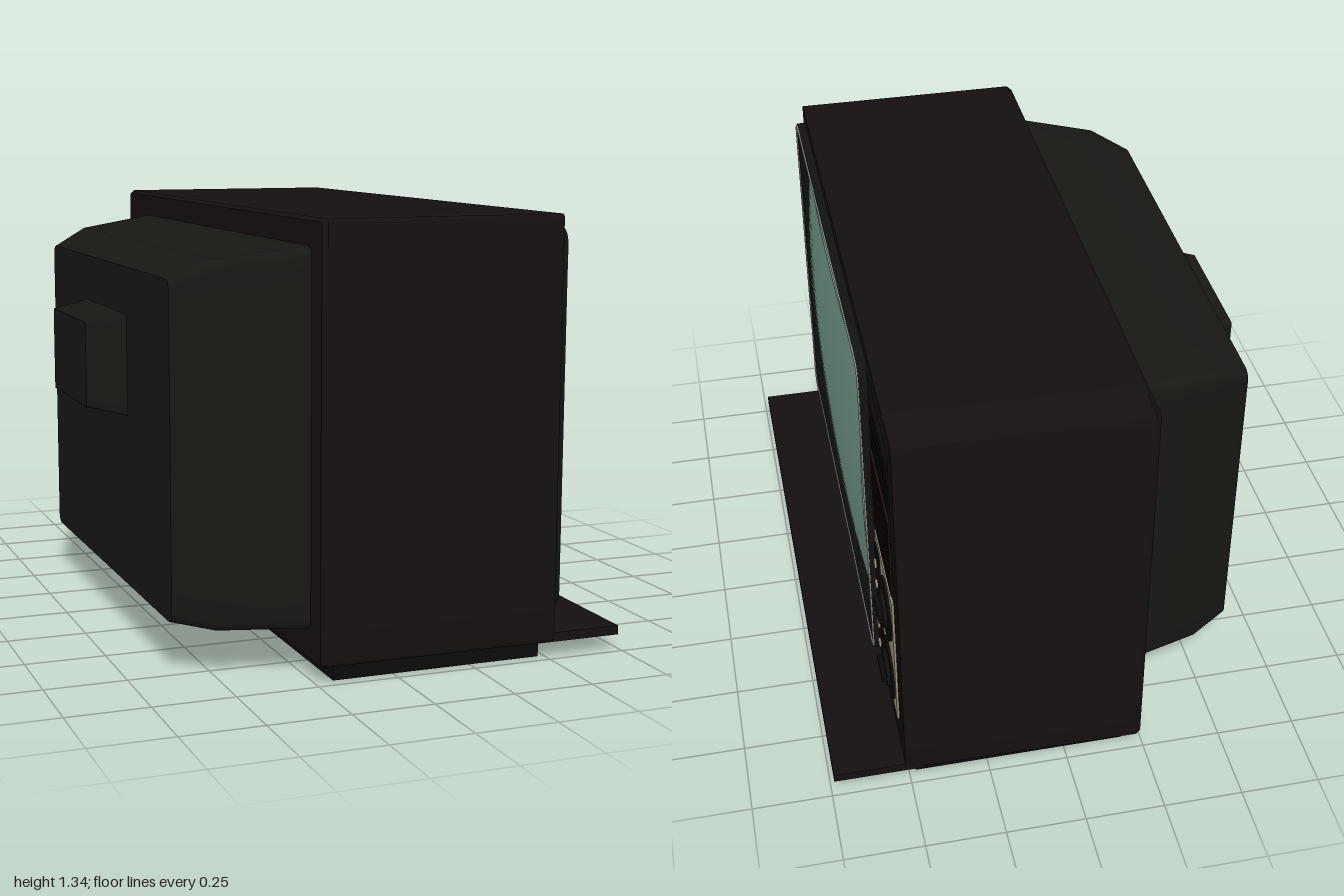
import * as THREE from 'three';
import { toCreasedNormals } from 'three/addons/utils/BufferGeometryUtils.js';

const mat = (color) => new THREE.MeshStandardMaterial({ color });
const M = {
  cabinet: mat(0x15100f), shell: mat(0x171814), black: mat(0x0b0b0a), frame: mat(0x121211),
  glass: mat(0x6f9688), trim: mat(0x85837e), cream: mat(0x9a8e74), slat: mat(0x1e1011),
};

// Rounded rectangle in the zy plane at depth x, counterclockwise seen from +x.
// Optional bulge bows every side outwards (barrel shape).
function ring(x, z0, z1, y0, y1, r = 0, bulge = 0) {
  const cz = (z0 + z1) / 2, cy = (y0 + y1) / 2, a = (z1 - z0) / 2, b = (y1 - y0) / 2;
  const pts = [], corners = [[1, 1], [-1, 1], [-1, -1], [1, -1]], C = 4, S = 12;
  const corner = (k, t) => {
    const ang = (k + t) * Math.PI / 2, [su, sv] = corners[k % 4];
    return [su * (a - r) + r * Math.cos(ang), sv * (b - r) + r * Math.sin(ang)];
  };
  for (let k = 0; k < 4; k++) {
    for (let i = 0; i < C; i++) pts.push(corner(k, i / C));
    const p = corner(k, 1), q = corner((k + 1) % 4, 0);
    for (let i = 0; i < S; i++) {
      const t = i / S, off = bulge * 4 * t * (1 - t), ang = (k + 1) * Math.PI / 2;
      pts.push([p[0] + (q[0] - p[0]) * t + off * Math.cos(ang), p[1] + (q[1] - p[1]) * t + off * Math.sin(ang)]);
    }
  }
  return pts.map(([u, v]) => new THREE.Vector3(x, cy + v, cz - u));
}

// Ring shrunk to its middle, used to close an end.
function cap(loop) {
  const c = loop.reduce((s, p) => s.add(p), new THREE.Vector3()).divideScalar(loop.length);
  return loop.map(() => c.clone());
}

// Skin through a row of rings, ordered from the back to the front.
function loft(rings, crease = 0.4) {
  const n = rings[0].length, pos = [], idx = [];
  rings.forEach((loop) => loop.forEach((p) => pos.push(p.x, p.y, p.z)));
  for (let i = 0; i < rings.length - 1; i++) {
    for (let j = 0; j < n; j++) {
      const k = (j + 1) % n, a = i * n + j, b = i * n + k, c = b + n, d = a + n;
      idx.push(a, b, c, a, c, d);
    }
  }
  const g = new THREE.BufferGeometry();
  g.setAttribute('position', new THREE.Float32BufferAttribute(pos, 3));
  g.setIndex(idx);
  return toCreasedNormals(g, crease);
}

const solid = (rings) => loft([cap(rings[0]), ...rings, cap(rings[rings.length - 1])]);

export function createModel() {
  const root = new THREE.Group();
  root.name = 'television';
  const add = (name, geo, material, parent = root) => {
    const m = new THREE.Mesh(geo, material);
    m.name = name;
    parent.add(m);
    return m;
  };
  const box = (name, x0, x1, y0, y1, z0, z1, material, parent) => {
    const m = add(name, new THREE.BoxGeometry(x1 - x0, y1 - y0, z1 - z0), material, parent);
    m.position.set((x0 + x1) / 2, (y0 + y1) / 2, (z0 + z1) / 2);
    return m;
  };
  const disc = (name, x0, x1, y, z, r, material, parent, rTop = r) => {
    const m = add(name, new THREE.CylinderGeometry(rTop, r, x1 - x0, 32), material, parent);
    m.rotation.z = -Math.PI / 2;
    m.position.set((x0 + x1) / 2, y, z);
    return m;
  };

  // Cabinet, plinth and front shelf
  add('cabinet', solid([
    ring(-0.24, -0.99, 0.985, 0.055, 1.33, 0.012),
    ring(-0.225, -0.998, 0.995, 0.05, 1.34, 0.012),
    ring(0.515, -0.988, 0.995, 0.05, 1.34, 0.012),
  ]), M.cabinet);
  box('plinth', -0.19, 0.48, 0, 0.06, -0.95, 0.96, M.black);
  box('frontShelf', 0.46, 0.74, 0.05, 0.078, -0.988, 0.99, M.cabinet);

  // Rear housing and tube cover
  add('rearHousing', solid([
    ring(-0.62, -0.64, 0.77, 0.16, 1.165, 0.03),
    ring(-0.5, -0.705, 0.835, 0.14, 1.222, 0.03),
    ring(-0.23, -0.78, 0.91, 0.14, 1.26, 0.03),
  ]), M.shell);
  add('tubeCover', solid([
    ring(-0.74, -0.145, 0.28, 0.73, 0.995, 0.008),
    ring(-0.61, -0.19, 0.32, 0.7, 1.02, 0.008),
  ]), M.shell);

  // Screen surround: raised rim sloping in to the barrel-shaped opening
  add('screenSurround', loft([
    ring(0.505, -0.562, 0.968, 0.148, 1.302, 0.045),
    ring(0.543, -0.562, 0.968, 0.148, 1.302, 0.045),
    ring(0.543, -0.54, 0.945, 0.17, 1.28, 0.035),
    ring(0.532, -0.5, 0.9, 0.215, 1.235, 0.03, 0.01),
    ring(0.517, -0.42, 0.82, 0.285, 1.165, 0.02, 0.03),
  ]), M.frame);
  const trimPath = new THREE.CatmullRomCurve3(ring(0.543, -0.555, 0.961, 0.155, 1.295, 0.04), true);
  add('screenTrim', new THREE.TubeGeometry(trimPath, 256, 0.005, 6, true), M.trim);

  // Curved glass
  const edge = ring(0.515, -0.425, 0.825, 0.28, 1.17, 0.02, 0.027);
  const glass = [edge];
  for (let i = 10; i >= 0; i--) {
    glass.push(edge.map((p) => {
      const dy = (p.y - 0.725) * i / 10, dz = (p.z - 0.2) * i / 10;
      return new THREE.Vector3(0.562 - 0.106 * dy * dy - 0.05 * dz * dz, 0.725 + dy, 0.2 + dz);
    }));
  }
  add('screen', loft(glass), M.glass);

  // Control column with speaker grille
  box('controlPanel', 0.5, 0.52, 0.15, 1.3, -0.955, -0.58, M.cabinet);
  const grille = new THREE.Group();
  grille.name = 'speakerGrille';
  root.add(grille);
  for (let i = 0; i < 18; i++) {
    const y = 0.745 + i * 0.016;
    box('grilleSlat', 0.515, 0.527, y, y + 0.01, -0.935, -0.6, M.slat, grille);
  }
  for (const y of [1.055, 1.085, 1.125, 1.15, 1.2]) {
    box('grilleSlot', 0.515, 0.524, y, y + 0.016, -0.935, -0.6, M.black, grille);
  }

  // Tuning plate with buttons and two knobs
  box('tuningPlate', 0.515, 0.527, 0.23, 0.715, -0.935, -0.6, M.cream);
  box('buttonStrip', 0.52, 0.533, 0.24, 0.69, -0.705, -0.628, M.black);
  for (let i = 0; i < 5; i++) disc('button', 0.53, 0.54, 0.29 + i * 0.085, -0.658, 0.015, M.cream);
  for (const y of [0.345, 0.595]) {
    const knob = new THREE.Group();
    knob.name = 'knob';
    root.add(knob);
    disc('knobBase', 0.52, 0.535, y, -0.823, 0.1, M.black, knob);
    disc('knobDial', 0.535, 0.545, y, -0.823, 0.062, M.frame, knob, 0.056);
    box('knobGrip', 0.54, 0.56, y - 0.008, y + 0.008, -0.875, -0.771, M.black, knob);
  }
  return root;
}
